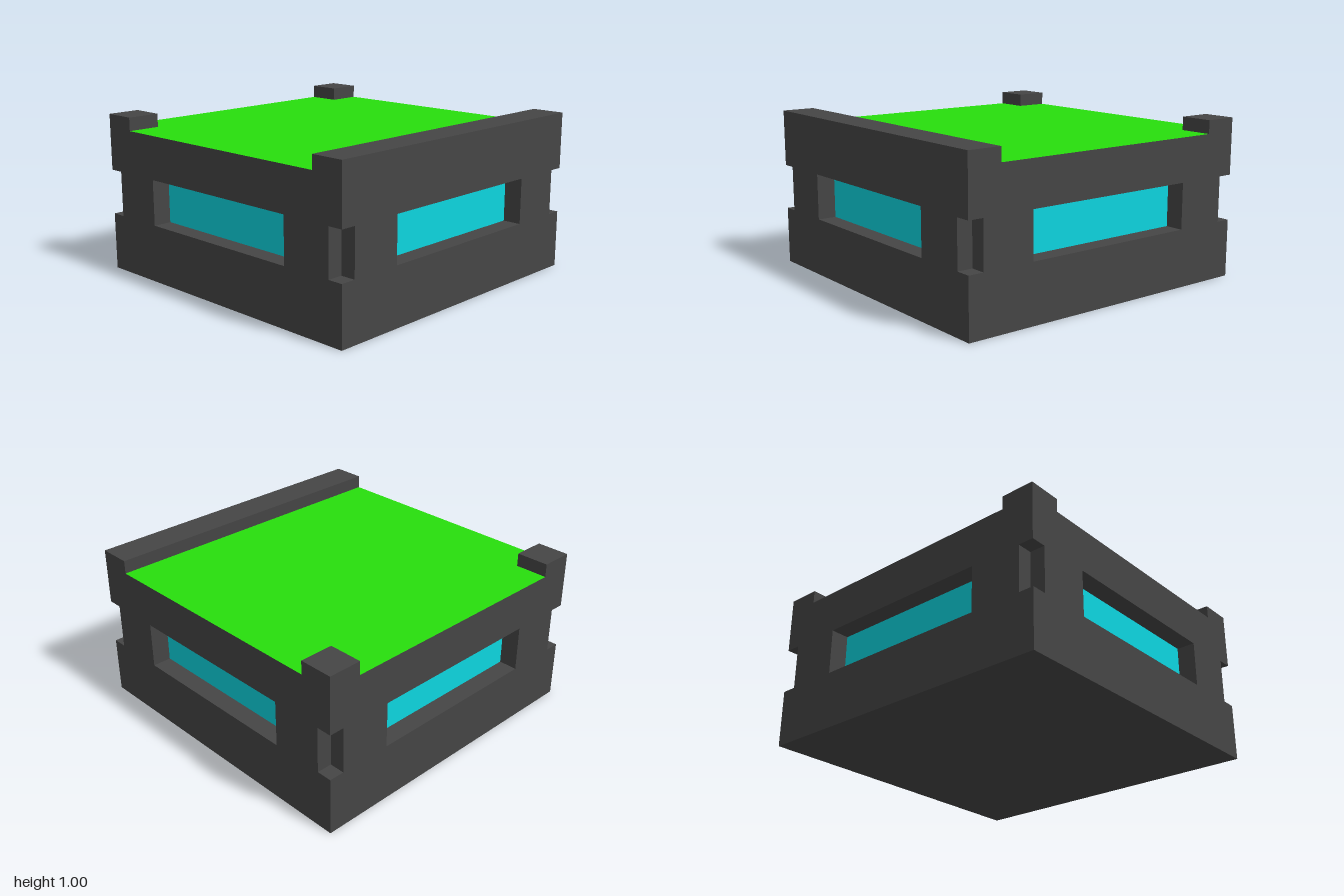
import * as THREE from 'three';

const DECK = 0.917;              // height of the green deck
const Y0 = 0.36, Y1 = 0.645;     // windows and corner notches
const HALF = 0.575;              // half window width
const PANE = 0.883;              // recessed pane distance from the centre
const NOTCH = 0.905;             // inner faces of the corner notches
const POST = 0.21;               // width of the raised blocks

const dark = new THREE.MeshStandardMaterial({ color: 0x454545 });
const green = new THREE.MeshStandardMaterial({ color: 0x27df0d });
const cyan = new THREE.MeshStandardMaterial({ color: 0x0dd5df });

// Geometry from four-cornered faces, corners counter-clockwise
function quads(faces) {
  const positions = faces.flatMap(([a, b, c, d]) => [a, b, c, a, c, d].flat());
  const geometry = new THREE.BufferGeometry();
  geometry.setAttribute('position', new THREE.Float32BufferAttribute(positions, 3));
  geometry.computeVertexNormals();
  return geometry;
}

// Horizontal face: facing up, or down when flipped
function ledge(x0, x1, y, z0, z1, flip) {
  const face = [[x0, y, z1], [x1, y, z1], [x1, y, z0], [x0, y, z0]];
  return flip ? face.reverse() : face;
}

// Upright face across z: facing +x, or -x when flipped
function jamb(x, z0, z1, flip) {
  const face = [[x, Y0, z1], [x, Y0, z0], [x, Y1, z0], [x, Y1, z1]];
  return flip ? face.reverse() : face;
}

function add(parent, name, geometry, material) {
  const mesh = new THREE.Mesh(geometry, material);
  mesh.name = name;
  parent.add(mesh);
  return mesh;
}

// Flat wall with a window hole and notched ends
function wallGeometry() {
  const points = [
    [-1, 0], [1, 0], [1, Y0], [NOTCH, Y0], [NOTCH, Y1], [1, Y1], [1, DECK],
    [-1, DECK], [-1, Y1], [-NOTCH, Y1], [-NOTCH, Y0], [-1, Y0],
  ];
  const shape = new THREE.Shape(points.map(([x, y]) => new THREE.Vector2(x, y)));
  const hole = [[-HALF, Y0], [-HALF, Y1], [HALF, Y1], [HALF, Y0]];
  shape.holes.push(new THREE.Path(hole.map(([x, y]) => new THREE.Vector2(x, y))));
  return new THREE.ShapeGeometry(shape).translate(0, 0, 1);
}

export function createModel() {
  const model = new THREE.Group();
  model.name = 'block';

  const wall = wallGeometry();
  const reveal = quads([
    ledge(-HALF, HALF, Y0, PANE, 1, false),
    ledge(-HALF, HALF, Y1, PANE, 1, true),
    jamb(-HALF, PANE, 1, false),
    jamb(HALF, PANE, 1, true),
  ]);
  const notch = quads([
    ledge(NOTCH, 1, Y0, NOTCH, 1, false),
    ledge(NOTCH, 1, Y1, NOTCH, 1, true),
    jamb(NOTCH, NOTCH, 1, false),
    [[NOTCH, Y0, NOTCH], [1, Y0, NOTCH], [1, Y1, NOTCH], [NOTCH, Y1, NOTCH]],
  ]);
  const pane = new THREE.PlaneGeometry(2 * HALF, Y1 - Y0).translate(0, (Y0 + Y1) / 2, PANE);

  // Four identical sides, each with one corner notch
  ['front', 'left', 'back', 'right'].forEach((name, i) => {
    const side = new THREE.Group();
    side.name = name + 'Side';
    side.rotation.y = i * Math.PI / 2;
    add(side, 'wall', wall, dark);
    add(side, 'windowReveal', reveal, dark);
    add(side, 'windowPane', pane, cyan);
    add(side, 'cornerNotch', notch, dark);
    model.add(side);
  });

  // Deck and underside
  add(model, 'deck', new THREE.PlaneGeometry(2, 2).rotateX(-Math.PI / 2), green).position.y = DECK;
  add(model, 'underside', new THREE.PlaneGeometry(2, 2).rotateX(Math.PI / 2), dark);

  // Raised front bar and back corner blocks
  const rise = 1 - DECK, y = DECK + rise / 2, offset = 1 - POST / 2;
  add(model, 'frontBar', new THREE.BoxGeometry(2, rise, POST), dark).position.set(0, y, offset);
  for (const s of [-1, 1]) {
    add(model, s > 0 ? 'leftBackBlock' : 'rightBackBlock',
      new THREE.BoxGeometry(POST, rise, POST), dark).position.set(s * offset, y, -offset);
  }
  return model;
}
